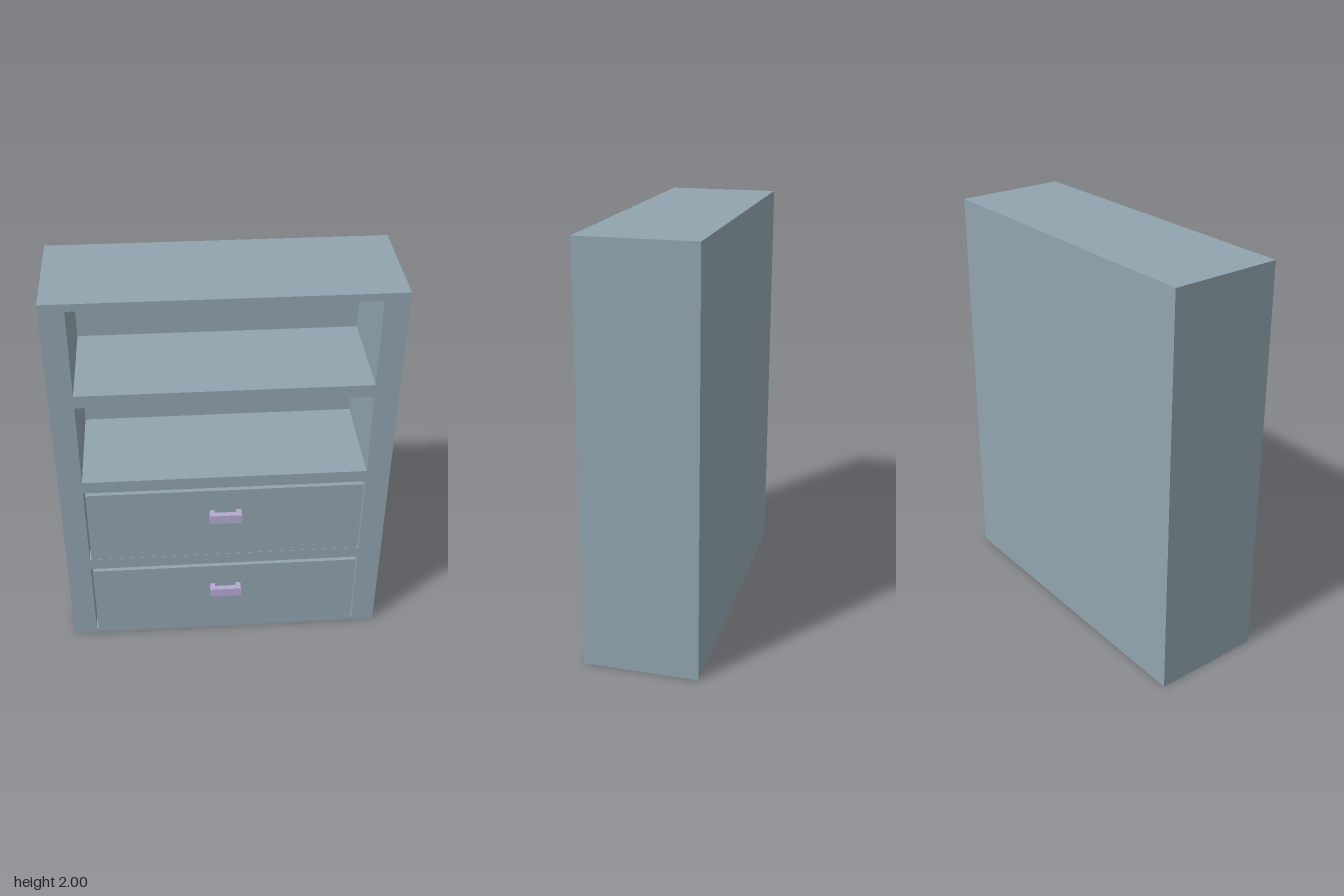
import * as THREE from 'three';

const BACK = -0.303, NICHE_BACK = -0.272, FRONT = 0.247, DRAWER_FRONT = 0.256;
const bodyMat = new THREE.MeshStandardMaterial({ color: 0x90a4ae });
const handleMat = new THREE.MeshStandardMaterial({ color: 0xb5a8d0 });

// Box from its minimum and maximum corners
function box(name, mat, x0, x1, y0, y1, z0, z1) {
  const mesh = new THREE.Mesh(new THREE.BoxGeometry(x1 - x0, y1 - y0, z1 - z0), mat);
  mesh.position.set((x0 + x1) / 2, (y0 + y1) / 2, (z0 + z1) / 2);
  mesh.name = name;
  return mesh;
}

function rectangle(path, x0, x1, y0, y1) {
  path.moveTo(x0, y0).lineTo(x1, y0).lineTo(x1, y1).lineTo(x0, y1).closePath();
  return path;
}

// U-shaped pull extruded upwards
function createHandle() {
  const z0 = DRAWER_FRONT, z1 = 0.276, z2 = 0.303;
  const outline = [[-0.078, z0], [-0.053, z0], [-0.053, z1], [0.053, z1],
    [0.053, z0], [0.078, z0], [0.078, z2], [-0.078, z2]];
  const shape = new THREE.Shape(outline.map(([x, z]) => new THREE.Vector2(x, -z)));
  const geometry = new THREE.ExtrudeGeometry(shape, { depth: 0.05, bevelEnabled: false });
  geometry.rotateX(-Math.PI / 2);
  const handle = new THREE.Mesh(geometry, handleMat);
  handle.name = 'handle';
  handle.position.y = 0.28;
  return handle;
}

// Open-topped drawer with a handle
function createDrawer() {
  const drawer = new THREE.Group();
  const w = 0.675, t = 0.025, y0 = 0.038, y1 = 0.453, zb = -0.26, zf = DRAWER_FRONT - t;
  drawer.add(
    box('drawerFront', bodyMat, -w, w, y0, y1, zf, DRAWER_FRONT),
    box('drawerBack', bodyMat, -w, w, y0, y1, zb, zb + t),
    box('drawerBottom', bodyMat, -w + t, w - t, y0, y0 + t, zb + t, zf),
    box('drawerRightSide', bodyMat, -w, -w + t, y0, y1, zb + t, zf),
    box('drawerLeftSide', bodyMat, w - t, w, y0, y1, zb + t, zf),
    createHandle());
  return drawer;
}

export function createModel() {
  const model = new THREE.Group();
  model.name = 'cabinet';

  // Frame with four equal compartments
  const face = rectangle(new THREE.Shape(), -0.8, 0.8, 0, 2);
  for (let i = 0; i < 4; i++) {
    const y = 0.5 * i;
    face.holes.push(rectangle(new THREE.Path(), -0.685, 0.685, y + 0.028, y + 0.464));
  }
  const frame = new THREE.Mesh(
    new THREE.ExtrudeGeometry(face, { depth: FRONT - NICHE_BACK, bevelEnabled: false }), bodyMat);
  frame.name = 'frame';
  frame.position.z = NICHE_BACK;
  model.add(frame, box('backPanel', bodyMat, -0.8, 0.8, 0, 2, BACK, NICHE_BACK));

  // Drawers in the lower two compartments
  for (let i = 0; i < 2; i++) {
    const drawer = createDrawer();
    drawer.name = i ? 'upperDrawer' : 'lowerDrawer';
    drawer.position.y = 0.5 * i;
    model.add(drawer);
  }
  return model;
}
